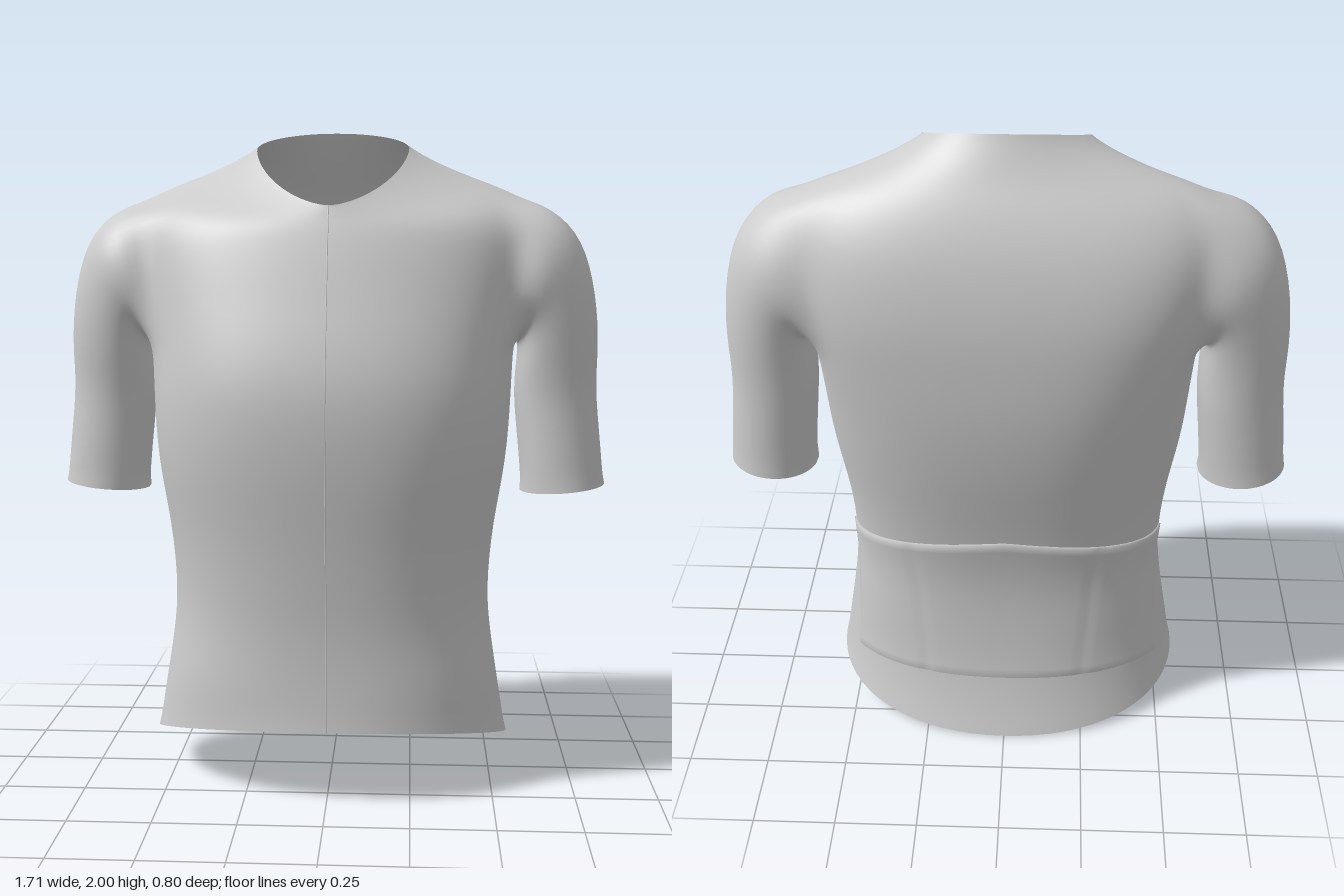
import * as THREE from 'three';

const COLS = 72, SUB = 4;

// torso sections from hem to collar:
// [side y, front y, back y, half width, front z, back z, side z, front roundness, back roundness]
const SECTIONS = [
  [0.125, 0.23, 0.0, 0.555, 0.36, -0.36, 0, 2.1, 2.1],
  [0.28, 0.36, 0.2, 0.53, 0.35, -0.305, 0, 2.3, 2.2],
  [0.45, 0.48, 0.42, 0.503, 0.347, -0.283, 0, 2.3, 2.4],
  [0.6, 0.6, 0.6, 0.49, 0.352, -0.287, 0, 2.3, 2.4],
  [0.8, 0.8, 0.8, 0.505, 0.37, -0.322, 0, 2.3, 2.4],
  [1.0, 1.0, 1.0, 0.54, 0.395, -0.367, -0.01, 2.4, 2.4],
  [1.2, 1.2, 1.2, 0.553, 0.402, -0.396, -0.03, 2.45, 2.6],
  [1.35, 1.35, 1.37, 0.56, 0.372, -0.401, -0.06, 2.45, 3.0],
  [1.5, 1.48, 1.52, 0.575, 0.327, -0.396, -0.07, 2.4, 3.4],
  [1.66, 1.6, 1.68, 0.59, 0.285, -0.364, -0.08, 2.3, 3.4],
  [1.803, 1.69, 1.8, 0.57, 0.25, -0.312, -0.09, 2.2, 2.7],
  [1.862, 1.73, 1.88, 0.42, 0.23, -0.263, -0.08, 2.0, 2.3],
  [1.907, 1.752, 1.945, 0.305, 0.22, -0.228, -0.06, 1.8, 2.0],
  [1.945, 1.77, 2.0, 0.232, 0.21, -0.2, -0.045, 1.65, 2.0],
];

// sleeve rings from shoulder to cuff:
// [outer x, outer y, inner x, inner y, back z, front z]
const RINGS = [
  [0.672, 1.768, 0.566, 1.35, -0.292, 0.128],
  [0.766, 1.672, 0.57, 1.325, -0.276, 0.108],
  [0.812, 1.51, 0.563, 1.265, -0.258, 0.092],
  [0.826, 1.35, 0.56, 1.21, -0.245, 0.075],
  [0.822, 1.22, 0.563, 1.145, -0.237, 0.062],
  [0.84, 1.05, 0.576, 1.02, -0.227, 0.06],
  [0.853, 0.915, 0.588, 0.89, -0.22, 0.058],
];

// Catmull-Rom blend through a list of equal-length rows
function blend(rows, t) {
  const i = Math.min(Math.floor(t), rows.length - 2), f = t - i;
  const at = (k) => rows[Math.max(0, Math.min(rows.length - 1, k))];
  const [a, b, c, d] = [at(i - 1), at(i), at(i + 1), at(i + 2)];
  return b.map((v, k) => v + 0.5 * f * (c[k] - a[k]
    + f * (2 * a[k] - 5 * v + 4 * c[k] - d[k] + f * (3 * (v - c[k]) + d[k] - a[k]))));
}

// point on the torso: t runs up the sections, angle 0 is the left side, PI / 2 the front
function torsoPoint(t, angle) {
  const [ys, yf, yb, w, zf, zb, zs, nf, nb] = blend(SECTIONS, t);
  const c = Math.cos(angle), s = Math.sin(angle);
  const n = s > 0 ? nf : nb;
  const f = Math.pow(Math.abs(s), 2 / n);
  return [Math.sign(c) * w * Math.pow(Math.abs(c), 2 / n),
    ys + ((s > 0 ? yf : yb) - ys) * f, zs + ((s > 0 ? zf : zb) - zs) * f];
}

function toGeometry(points, index) {
  const g = new THREE.BufferGeometry();
  g.setAttribute('position', new THREE.Float32BufferAttribute(points.flat(), 3));
  g.setIndex(index);
  g.computeVertexNormals();
  return g;
}

// relax all vertices except the open borders
function relax(points, index, fixed, rounds) {
  const near = points.map(() => new Set());
  for (let i = 0; i < index.length; i += 3) {
    for (let k = 0; k < 3; k++) {
      const a = index[i + k], b = index[i + (k + 1) % 3];
      near[a].add(b);
      near[b].add(a);
    }
  }
  for (let r = 0; r < rounds; r++) {
    const old = points.map((p) => p.slice());
    points.forEach((p, i) => {
      if (fixed.has(i) || !near[i].size) return;
      for (let k = 0; k < 3; k++) {
        let sum = 0;
        near[i].forEach((j) => { sum += old[j][k]; });
        p[k] = 0.5 * old[i][k] + 0.5 * sum / near[i].size;
      }
    });
  }
}

// torso with two armholes, sleeves grown from the armhole loops
function shirtGeometry() {
  const points = [], index = [], fixed = new Set();
  const quad = (a, b, c, d) => index.push(a, b, d, b, c, d);
  const rows = (SECTIONS.length - 1) * SUB;
  const id = (r, j) => r * COLS + (j + COLS) % COLS;
  const r0 = 7 * SUB, r1 = 10 * SUB, j0 = -6, j1 = 5;

  for (let r = 0; r <= rows; r++) {
    for (let j = 0; j < COLS; j++) {
      if (r === 0 || r === rows) fixed.add(points.length);
      points.push(torsoPoint(r / SUB, j / COLS * Math.PI * 2));
    }
  }
  const inHole = (r, j) => r >= r0 && r < r1 && j >= j0 && j < j1;
  for (let r = 0; r < rows; r++) {
    for (let j = -COLS / 4; j < COLS * 3 / 4; j++) {
      if (inHole(r, j) || inHole(r, COLS / 2 - 1 - j)) continue;
      quad(id(r, j), id(r + 1, j), id(r + 1, j + 1), id(r, j + 1));
    }
  }

  // armhole border, walked once around
  const loop = [];
  for (let j = j0; j < j1; j++) loop.push([r0, j]);
  for (let r = r0; r < r1; r++) loop.push([r, j1]);
  for (let j = j1; j > j0; j--) loop.push([r1, j]);
  for (let r = r1; r > r0; r--) loop.push([r, j0]);

  for (const side of [1, -1]) {
    const border = loop.map(([r, j]) => id(r, side > 0 ? j : COLS / 2 - j));
    if (side < 0) border.reverse();
    const tracks = border.map((v) => {
      const p = points[v];
      const a = Math.atan2((p[1] - 1.575) / 0.22, (p[2] + 0.08) / 0.2);
      return [p, ...RINGS.map(([ox, oy, ix, iy, zb, zf]) => {
        const s = Math.sin(a) / 2;
        return [side * ((ox + ix) / 2 + (ox - ix) * s), (oy + iy) / 2 + (oy - iy) * s,
          (zf + zb) / 2 + (zf - zb) / 2 * Math.cos(a)];
      })];
    });
    let last = border;
    const steps = RINGS.length * SUB;
    for (let s = 1; s <= steps; s++) {
      const ring = tracks.map((track) => {
        if (s === steps) fixed.add(points.length);
        return points.push(blend(track, s / SUB)) - 1;
      });
      ring.forEach((v, k) => {
        const n = (k + 1) % ring.length;
        quad(last[k], v, ring[n], last[n]);
      });
      last = ring;
    }
  }
  relax(points, index, fixed, 6);
  return toGeometry(points, index);
}

// raised pocket panel wrapped around the lower back
function pocketGeometry() {
  const nu = 64, nv = 20, points = [], index = [];
  for (let i = 0; i <= nv; i++) {
    for (let k = 0; k <= nu; k++) {
      const edge = i === 0 || i === nv || k === 0 || k === nu;
      const v = (Math.max(1, Math.min(nv - 1, i)) - 1) / (nv - 2);
      const u = (Math.max(1, Math.min(nu - 1, k)) - 1) / (nu - 2) * 2 - 1;
      const angle = Math.PI * 1.5 + u * (1.12 + 0.28 * v * v);
      const y = 0.205 + v * (0.455 + 0.085 * Math.pow(1 - Math.abs(u), 1.2));
      let lo = 0, hi = 6;
      for (let s = 0; s < 24; s++) {
        const mid = (lo + hi) / 2;
        if (torsoPoint(mid, angle)[1] < y) lo = mid; else hi = mid;
      }
      const p = torsoPoint(lo, angle);
      const seam = Math.abs(Math.abs(u) - 0.4) < 0.02 ? 0.002 : 0;
      const lift = edge ? -0.004 : 0.004 + 0.006 * v * (1 - u ** 4) - seam;
      const n = new THREE.Vector2(p[0] / 0.27, p[2] / 0.09).normalize();
      points.push([p[0] + n.x * lift, p[1], p[2] + n.y * lift]);
      if (i < nv && k < nu) {
        const a = i * (nu + 1) + k, b = a + nu + 1;
        index.push(a, b, a + 1, b, b + 1, a + 1);
      }
    }
  }
  return toGeometry(points, index);
}

export function createModel() {
  const model = new THREE.Group();
  model.name = 'cyclingShirt';
  const fabric = new THREE.MeshStandardMaterial({ color: 0xcccccc, side: THREE.DoubleSide });
  fabric.name = 'greyFabric';
  const add = (name, geometry) => {
    const mesh = new THREE.Mesh(geometry, fabric);
    mesh.name = name;
    model.add(mesh);
  };
  add('shirtBody', shirtGeometry());
  add('backPockets', pocketGeometry());

  // front closure as a fine ridge
  const path = [];
  for (let i = 0; i <= 26; i++) {
    path.push(new THREE.Vector3(...torsoPoint(i / 2, Math.PI / 2)));
  }
  add('frontZip', new THREE.TubeGeometry(new THREE.CatmullRomCurve3(path), 80, 0.002, 6));
  return model;
}
